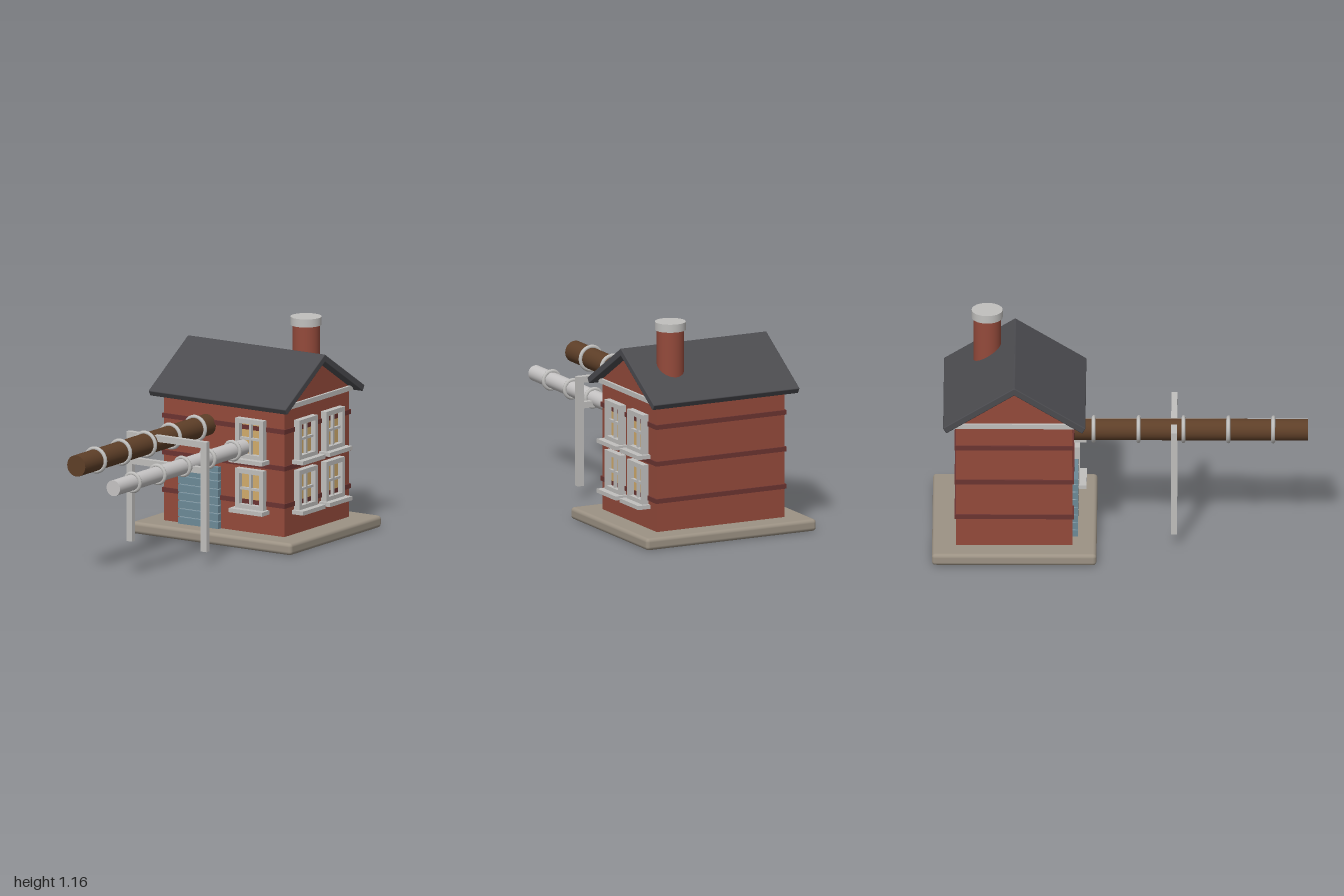
import * as THREE from 'three';
import { RoundedBoxGeometry } from 'three/addons/geometries/RoundedBoxGeometry.js';

const mat = (name, color) => {
  const m = new THREE.MeshStandardMaterial({ color });
  m.name = name;
  return m;
};

export function createModel() {
  const model = new THREE.Group();
  model.name = 'pipeHouse';
  const brick = mat('brick red', 0x944a3b);
  const band = mat('dark brick', 0x6b3431);
  const slate = mat('slate grey', 0x4b4b4f);
  const stone = mat('stone', 0x9c9284);
  const trim = mat('light grey', 0xc0bfbd);
  const glass = mat('window amber', 0xd2ac6c);
  const blue = mat('shutter blue', 0x6d8a98);
  const paleBlue = mat('pale shutter blue', 0xa0b4bc);
  const brown = mat('pipe brown', 0x5e3f28);
  const steel = mat('pipe grey', 0xc6c4c4);

  const add = (parent, name, geo, material, x = 0, y = 0, z = 0) => {
    const m = new THREE.Mesh(geo, material);
    m.name = name;
    m.position.set(x, y, z);
    parent.add(m);
    return m;
  };
  const box = (parent, name, w, h, d, material, x, y, z) =>
    add(parent, name, new THREE.BoxGeometry(w, h, d), material, x, y, z);

  const midZ = -0.56, wallX = 0.385, wallZ = 0.31;

  // Ground slab
  add(model, 'base', new RoundedBoxGeometry(1.024, 0.065, 0.876, 3, 0.02), stone, 0, 0.0325, midZ);

  // Walls and gables in one extruded profile
  const profile = new THREE.Shape();
  profile.moveTo(-wallZ, 0.06);
  profile.lineTo(wallZ, 0.06);
  profile.lineTo(wallZ, 0.775);
  profile.lineTo(0, 0.967);
  profile.lineTo(-wallZ, 0.775);
  const walls = new THREE.ExtrudeGeometry(profile, { depth: wallX * 2, bevelEnabled: false });
  walls.rotateY(-Math.PI / 2).translate(wallX, 0, 0);
  add(model, 'walls', walls, brick, 0, 0, midZ);

  // Brick courses and cornice
  for (const y of [0.233, 0.437, 0.637]) {
    box(model, 'brickBand', 0.785, 0.025, 0.636, band, 0, y, midZ);
  }
  box(model, 'cornice', 0.8, 0.026, 0.65, trim, 0, 0.767, midZ);

  // Roof slopes, meeting at the ridge
  const pitch = Math.atan2(0.235, 0.38);
  for (const s of [1, -1]) {
    const slope = add(model, 'roofSlope', new RoundedBoxGeometry(0.878, 0.036, 0.447, 2, 0.005),
      slate, 0, 0.8776, midZ + s * 0.181);
    slope.rotation.x = s * pitch;
  }

  // Chimney
  add(model, 'chimney', new THREE.CylinderGeometry(0.073, 0.073, 0.35, 32), brick, 0.218, 0.95, -0.708);
  add(model, 'chimneyCap', new THREE.CylinderGeometry(0.083, 0.083, 0.044, 32), trim, 0.218, 1.143, -0.708);

  // Window facing +z, with its back on the wall plane
  const makeWindow = (x, y, z, turn) => {
    const g = new THREE.Group();
    g.name = 'window';
    const rect = (path, w, h) => {
      path.moveTo(-w / 2, -h / 2);
      path.lineTo(w / 2, -h / 2);
      path.lineTo(w / 2, h / 2);
      path.lineTo(-w / 2, h / 2);
      path.closePath();
      return path;
    };
    const shape = rect(new THREE.Shape(), 0.178, 0.218);
    shape.holes.push(rect(new THREE.Path(), 0.128, 0.168));
    add(g, 'windowFrame', new THREE.ExtrudeGeometry(shape, { depth: 0.036, bevelEnabled: false }), trim);
    box(g, 'windowPane', 0.13, 0.17, 0.008, glass, 0, 0, 0.003);
    box(g, 'verticalBar', 0.013, 0.17, 0.024, trim, 0, 0, 0.012);
    box(g, 'horizontalBar', 0.13, 0.013, 0.024, trim, 0, 0, 0.012);
    box(g, 'windowSill', 0.215, 0.022, 0.072, trim, 0, -0.117, 0.036);
    g.position.set(x, y, z);
    g.rotation.y = turn;
    model.add(g);
  };
  for (const y of [0.305, 0.578]) {
    makeWindow(0.183, y, midZ + wallZ, 0);
    for (const z of [-0.43, -0.688]) makeWindow(wallX, y, z, Math.PI / 2);
  }

  // Roller shutter door
  box(model, 'shutterBacking', 0.254, 0.335, 0.02, paleBlue, -0.148, 0.2325, -0.245);
  for (let i = 0; i < 8; i++) {
    const h = i === 7 ? 0.028 : 0.0385;
    box(model, 'shutterSlat', 0.256, h, 0.03, blue, -0.148, 0.065 + i * 0.0443 - 0.003 + h / 2, -0.237);
  }

  // Pipes with collars
  const makePipe = (name, x, y, r, material) => {
    const pipe = new THREE.CylinderGeometry(r, r, 1.26, 24).rotateX(Math.PI / 2);
    add(model, name, pipe, material, x, y, 0.37);
    for (let i = 0; i < 5; i++) {
      add(model, name + 'Collar', new THREE.TorusGeometry(r + 0.005, 0.011, 8, 20), trim,
        x, y, -0.14 + i * 0.239);
    }
  };
  makePipe('brownPipe', -0.111, 0.618, 0.058, brown);
  makePipe('greyPipe', 0.126, 0.525, 0.043, steel);

  // Pipe support frame
  for (const s of [1, -1]) {
    box(model, 'supportPost', 0.036, 0.597, 0.032, trim, s * 0.238, 0.3655, 0.288);
  }
  for (const y of [0.647, 0.507]) {
    box(model, 'supportBeam', 0.44, 0.034, 0.031, trim, 0, y, 0.288);
  }

  return model;
}
